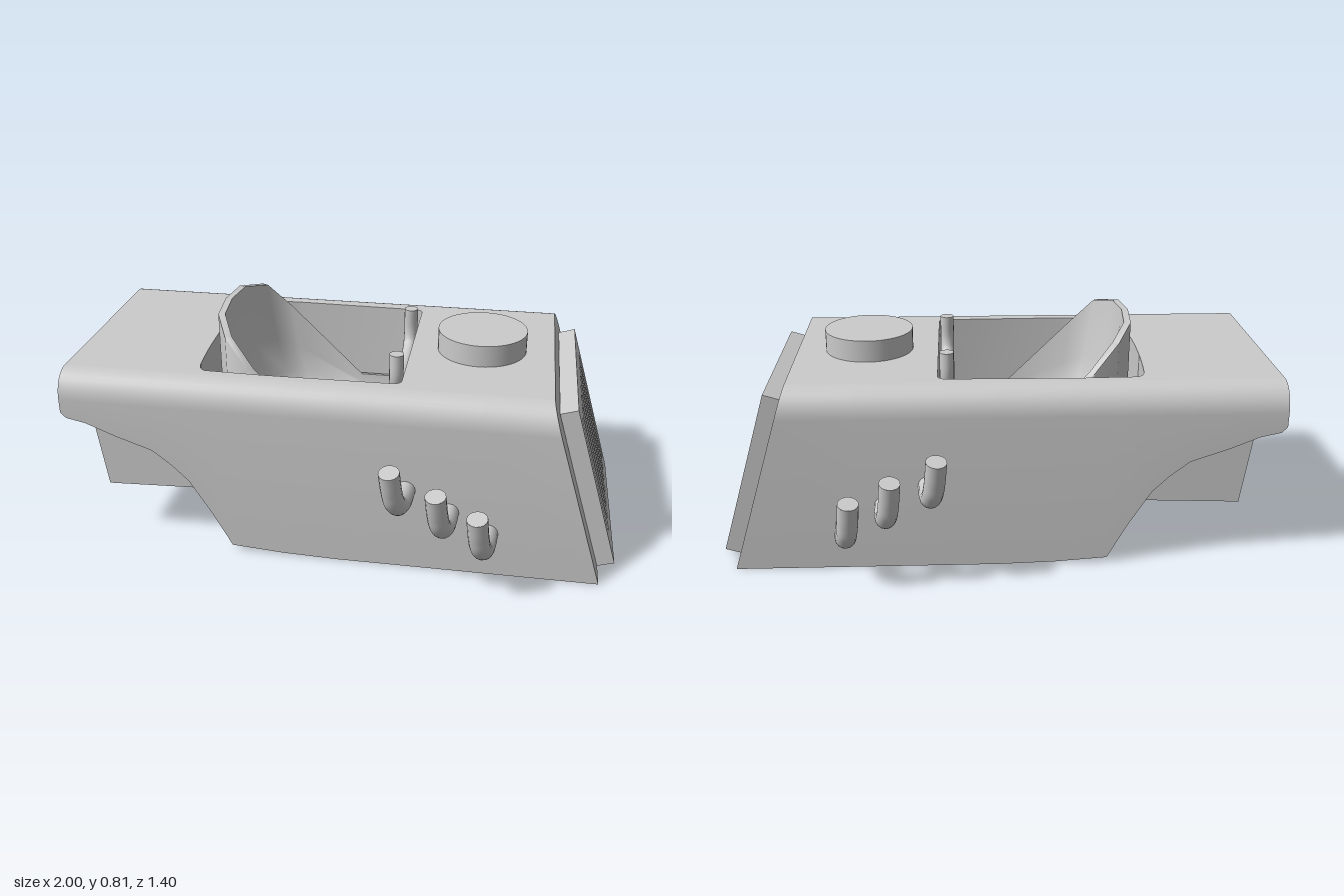
import * as THREE from 'three';
import { toCreasedNormals } from 'three/addons/utils/BufferGeometryUtils.js';

const grey = new THREE.MeshStandardMaterial({ color: 0xcccccc });
const greyDouble = new THREE.MeshStandardMaterial({ color: 0xcccccc, side: THREE.DoubleSide });

function part(name, geometry, material = grey) {
  const mesh = new THREE.Mesh(geometry, material);
  mesh.name = name;
  return mesh;
}

// Skin a list of equally long rows of [x, y, z] points.
function loft(rows, crease = 0.6) {
  const n = rows[0].length;
  const index = [];
  for (let i = 0; i < rows.length - 1; i++) {
    for (let j = 0; j < n - 1; j++) {
      const a = i * n + j, b = a + n;
      index.push(a, a + 1, b + 1, a, b + 1, b);
    }
  }
  const g = new THREE.BufferGeometry();
  g.setAttribute('position', new THREE.Float32BufferAttribute(rows.flat(2), 3));
  g.setIndex(index);
  return toCreasedNormals(g, crease);
}

// Round pipe along a path, closed by a disc at each end.
function pipe(name, points, radius) {
  const group = new THREE.Group();
  group.name = name;
  const curve = new THREE.CatmullRomCurve3(points.map(p => new THREE.Vector3(...p)), false, 'centripetal');
  group.add(part(name + 'Tube', new THREE.TubeGeometry(curve, 40, radius, 16)));
  for (const t of [0, 1]) {
    const end = part(name + 'End', new THREE.CircleGeometry(radius, 16));
    const dir = curve.getTangent(t).multiplyScalar(t ? 1 : -1);
    end.position.copy(curve.getPoint(t));
    end.quaternion.setFromUnitVectors(new THREE.Vector3(0, 0, 1), dir);
    group.add(end);
  }
  return group;
}

const TOP = 0.67, HALF = 0.47, DECK = 0.385, WELL = 0.285;

// Cockpit opening in plan, as seen with x right and y across.
function openingPath(PathType) {
  const p = new PathType();
  p.moveTo(0.21, -0.32);
  p.lineTo(0.21, 0.32);
  p.quadraticCurveTo(0.21, 0.345, 0.18, 0.348);
  p.lineTo(-0.28, 0.355);
  p.lineTo(-0.49, 0.35);
  p.quadraticCurveTo(-0.515, 0.34, -0.52, 0.3);
  p.quadraticCurveTo(-0.55, 0, -0.52, -0.3);
  p.quadraticCurveTo(-0.515, -0.34, -0.49, -0.35);
  p.lineTo(-0.28, -0.355);
  p.lineTo(0.18, -0.348);
  p.quadraticCurveTo(0.21, -0.345, 0.21, -0.32);
  return p;
}

function createBody() {
  const body = new THREE.Group();
  body.name = 'body';
  // Lower edge of the flanks from rear to front
  const lower = [[-1, 0.52], [-0.98, 0.5], [-0.91, 0.485], [-0.8, 0.44], [-0.67, 0.395], [-0.6, 0.34],
    [-0.54, 0.28], [-0.46, 0.15], [-0.39, 0.02], [-0.2, 0.006], [0, 0], [0.5, 0], [0.94, 0]];
  const rows = lower.map(([x, yb], i) => {
    const topX = i === lower.length - 1 ? 0.735 : x;
    const at = (y, z) => [x + (topX - x) * (y - yb) / (TOP - yb), y, z];
    const side = [];
    for (let k = 0; k <= 8; k++) {
      const a = k / 8 * Math.PI / 2;
      side.push(at(TOP - 0.1 * (1 - Math.cos(a)), DECK + (HALF - DECK) * Math.sin(a)));
    }
    side.push(at(yb, HALF));
    return [...side, ...side.map(([px, py, pz]) => [px, py, -pz]).reverse()];
  });
  body.add(part('flanksAndBottom', loft(rows)));

  // Flat rear and sloping front
  const closed = r => [...r, r[0]];
  const rear = closed(rows[0]), front = closed(rows[rows.length - 1]);
  body.add(part('rearPanel', loft([rear.map(() => [-1, 0.6, 0]), rear])));
  body.add(part('frontPanel', loft([front, front.map(() => [0.8375, 0.335, 0])])));

  // Deck with the cockpit opening
  const deck = new THREE.Shape([[-1, -DECK], [0.735, -DECK], [0.735, DECK], [-1, DECK]]
    .map(p => new THREE.Vector2(...p)));
  deck.holes.push(openingPath(THREE.Path));
  const deckGeometry = new THREE.ShapeGeometry(deck, 10).rotateX(-Math.PI / 2).translate(0, TOP, 0);
  body.add(part('deck', deckGeometry, greyDouble));

  // Cockpit well
  const rim = openingPath(THREE.Path).getPoints(10);
  const wall = loft([TOP, WELL].map(y => rim.map(p => [p.x, y, -p.y])));
  body.add(part('cockpitWall', wall, greyDouble));
  const floor = new THREE.ShapeGeometry(openingPath(THREE.Shape), 10).rotateX(-Math.PI / 2).translate(0, WELL, 0);
  body.add(part('cockpitFloor', floor, greyDouble));
  return body;
}

// Bucket seat: a U-shaped shell, high at the back and sloping down to the front
function createSeat() {
  const half = [[0.2, 0.335, 0.38], [-0.04, 0.335, 0.38], [-0.34, 0.325, 0.67],
    [-0.43, 0.28, 0.77], [-0.49, 0.15, 0.805]];
  const outline = [...half, [-0.503, 0, 0.81], ...half.map(([x, z, h]) => [x, -z, h]).reverse()];
  // [inset from the back, inset from the sides, share of the rim height]
  const rings = [[0, 0, -0.05], [0, 0, 1], [0.035, 0.04, 1], [0.08, 0.05, 0.5], [0.14, 0.07, 0.2],
    [0.22, 0.1, 0.06], [0.34, 0.16, 0], [1, 1, 0]];
  const rows = rings.map(([kx, kz, f]) => outline.map(([x, z, h]) =>
    [0.2 + (x - 0.2) * (1 - kx), 0.31 + (h - 0.31) * f, z * (1 - kz)]));
  return part('seat', loft(rows, 1.1), greyDouble);
}

// Sloping grille with seven upright slots
function createGrille() {
  const rect = (P, x0, x1, y0, y1) => new P([[x0, y0], [x1, y0], [x1, y1], [x0, y1]]
    .map(p => new THREE.Vector2(...p)));
  const shape = rect(THREE.Shape, -0.36, 0.36, 0, 0.63);
  for (let i = -3; i <= 3; i++) {
    const c = i * 0.0885;
    shape.holes.push(rect(THREE.Path, c - 0.021, c + 0.021, 0.086, 0.55));
  }
  const g = new THREE.ExtrudeGeometry(shape, { depth: 0.064, bevelEnabled: false });
  g.rotateY(Math.PI / 2).rotateZ(0.293).translate(0.938, 0.002, 0);
  return part('grille', g);
}

export function createModel() {
  const model = new THREE.Group();
  model.name = 'vehicleBody';
  model.add(createBody(), createSeat(), createGrille());

  // Tub under the rear
  const tub = new THREE.Shape([[-0.91, 0.5], [-0.87, 0.205], [-0.45, 0.22], [-0.53, 0.24], [-0.545, 0.5]]
    .map(p => new THREE.Vector2(...p)));
  model.add(part('rearTub',
    new THREE.ExtrudeGeometry(tub, { depth: 0.82, bevelEnabled: false }).translate(0, 0, -0.41)));

  // Round cap on the bonnet
  const cap = part('bonnetCap', new THREE.CylinderGeometry(0.163, 0.163, 0.09, 48));
  cap.position.set(0.468, 0.705, 0);
  model.add(cap);

  // Bent rail at the front of the cockpit
  const railHalf = [[0.178, 0.725, 0.22], [0.178, 0.63, 0.22], [0.178, 0.585, 0.2], [0.178, 0.56, 0.14]];
  model.add(pipe('cockpitRail', [...railHalf, ...railHalf.map(([x, y, z]) => [x, y, -z]).reverse()], 0.026));

  // Three upswept exhausts on each side
  const bases = [[0.24, 0.32], [0.395, 0.245], [0.535, 0.172]];
  for (const [side, label] of [[1, 'left'], [-1, 'right']]) {
    bases.forEach(([x, y], i) => {
      const path = [[0.008, 0, 0.44], [0.003, 0, 0.54], [-0.004, 0.012, 0.59], [-0.013, 0.05, 0.627],
        [-0.02, 0.1, 0.645], [-0.027, 0.18, 0.664]];
      model.add(pipe(label + 'Exhaust' + (i + 1),
        path.map(([dx, dy, z]) => [x + dx, y + dy, z * side]), 0.036));
    });
  }
  return model;
}
